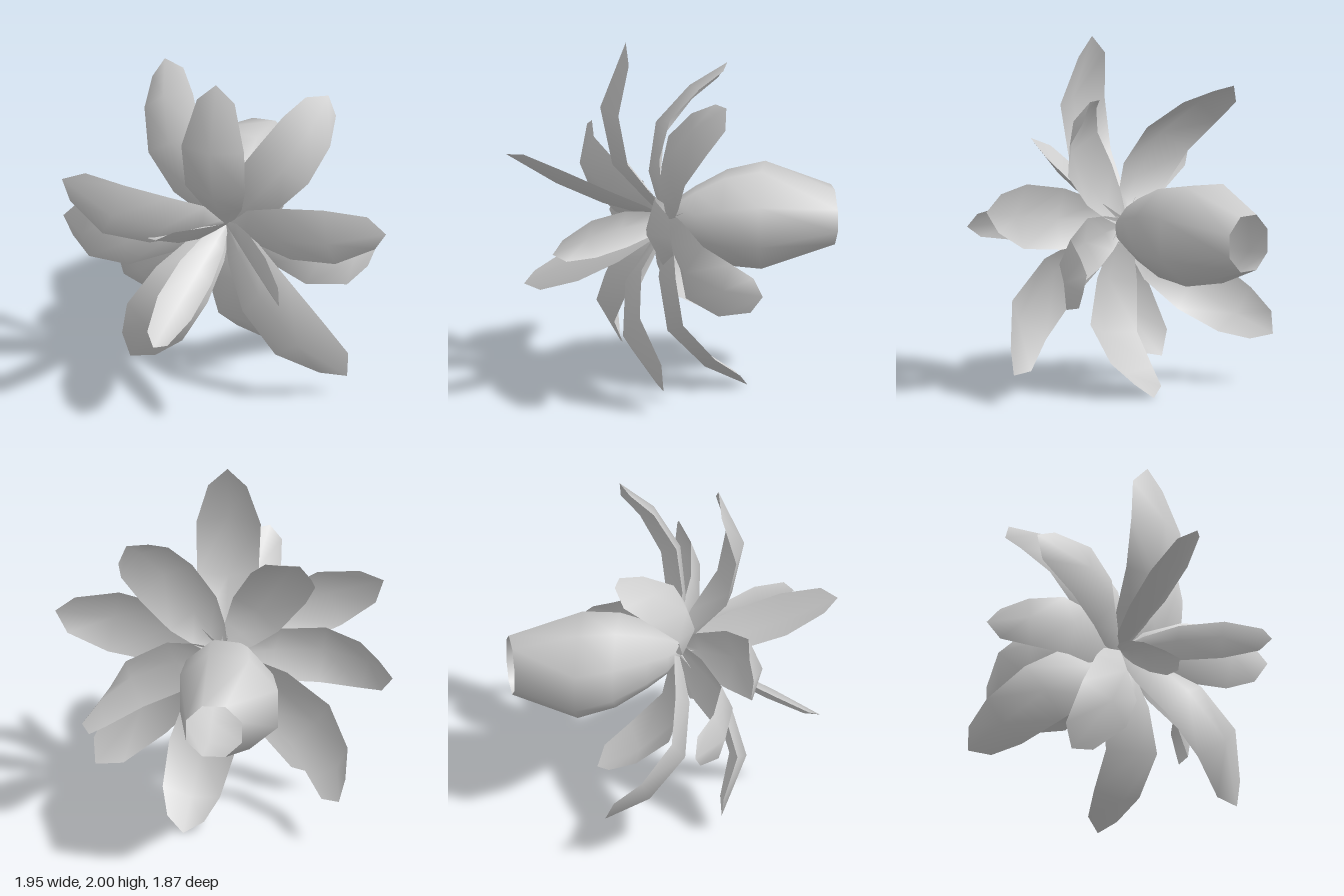
import * as THREE from 'three';

const petalGrey = new THREE.MeshStandardMaterial({ color: 0xcccccc, side: THREE.DoubleSide });
petalGrey.name = 'petal grey';

const BASE = [-0.01, 0.94, 0.03];

// Smooth surface from equal-length rows of points
function loft(name, rows, closed) {
  const n = rows[0].length, index = [];
  for (let r = 0; r + 1 < rows.length; r++) {
    for (let c = 0; c < (closed ? n : n - 1); c++) {
      const a = r * n + c, b = r * n + (c + 1) % n;
      index.push(a, b, a + n, b, b + n, a + n);
    }
  }
  const geometry = new THREE.BufferGeometry().setFromPoints(rows.flat());
  geometry.setIndex(index);
  geometry.computeVertexNormals();
  const mesh = new THREE.Mesh(geometry, petalGrey);
  mesh.name = name;
  return mesh;
}

// Rows of each petal kind: [centre t, edge t, share of the half width]
const LONG_ROWS = [[0, 0, 0.18], [0.15, 0.15, 0.62], [0.38, 0.38, 0.95], [0.67, 0.67, 1], [1, 0.92, 0.6]];
const CURLED_ROWS = [[0, 0, 0.18], [0.13, 0.13, 0.6], [0.27, 0.27, 0.9], [0.53, 0.53, 1], [0.78, 0.78, 0.88], [1, 0.94, 0.56]];

// Petal along a curve of centre points; its edges cup towards the trumpet
function petal(name, rowList, centres, side, halfWidth) {
  const path = new THREE.CatmullRomCurve3([BASE, ...centres].map((p) => new THREE.Vector3(...p)));
  const across = new THREE.Vector3(...side).normalize();
  const rows = rowList.map(([tc, te, share]) => {
    const along = path.getTangentAt(te);
    const s = across.clone().addScaledVector(along, -across.dot(along)).normalize();
    const normal = new THREE.Vector3().crossVectors(along, s);
    if (normal.z > 0) normal.negate();
    const w = halfWidth * share;
    const edge = (k) => path.getPointAt(te).addScaledVector(s, k * w).addScaledVector(normal, w * 0.4);
    return [edge(-1), path.getPointAt(tc), edge(1)];
  });
  return loft(name, rows, false);
}

// Each petal: centre points, direction across, half width
const OUTER = [
  [[[-0.01, 1.35, 0.385], [-0.01, 1.65, 0.415], [-0.01, 2.00, 0.27]], [1, 0, 0], 0.185],
  [[[0.28, 0.635, 0.335], [0.505, 0.39, 0.37], [0.74, 0.13, 0.18]], [0.17, 0.15, 0], 0.19],
  [[[-0.225, 0.62, 0.33], [-0.38, 0.37, 0.375], [-0.53, 0.10, 0.21]], [0.18, -0.12, 0], 0.19],
  [[[0.365, 0.99, 0.22], [0.66, 1.035, 0.26], [0.97, 1.10, 0.18]], [-0.04, 0.23, 0.02], 0.185],
  [[[-0.375, 1.065, 0.37], [-0.64, 1.17, 0.44], [-0.90, 1.29, 0.34]], [0.09, 0.21, 0], 0.18],
];
const CURLED = [
  [[[-0.26, 0.91, 0.15], [-0.55, 0.87, 0.27], [-0.80, 0.85, 0.205], [-0.98, 0.84, -0.01]], [0.03, 0.25, 0], 0.175],
  [[[0.14, 1.13, 0.10], [0.30, 1.33, 0.12], [0.45, 1.56, 0.0], [0.53, 1.73, -0.22]], [0.18, -0.12, -0.03], 0.185],
  [[[-0.16, 1.13, 0.10], [-0.31, 1.36, 0.08], [-0.41, 1.57, -0.10], [-0.48, 1.73, -0.40]], [0.19, 0.07, 0.03], 0.18],
  [[[-0.30, 0.73, 0.06], [-0.55, 0.53, -0.01], [-0.68, 0.37, -0.23], [-0.71, 0.28, -0.49]], [0.16, -0.17, 0.04], 0.185],
  [[[0.33, 0.84, 0.06], [0.57, 0.75, 0.0], [0.71, 0.69, -0.20], [0.77, 0.67, -0.39]], [0.06, -0.25, 0], 0.175],
  [[[0.05, 0.60, 0.09], [0.12, 0.32, 0.05], [0.17, 0.09, -0.19], [0.19, 0.00, -0.40]], [0.25, 0.03, 0], 0.19],
];
const SWEPT = [
  [[[-0.075, 1.03, 0.365], [-0.13, 1.145, 0.635], [-0.20, 1.32, 0.93]], [0.88, 0.35, 0.05], 0.145],
  [[[0.19, 0.95, 0.36], [0.34, 0.935, 0.58], [0.49, 0.90, 0.78]], [-0.1, 1, 0], 0.11],
  [[[-0.095, 0.795, 0.35], [-0.165, 0.675, 0.585], [-0.24, 0.54, 0.82]], [0.7, -0.5, -0.1], 0.12],
];

// Open trumpet: [z, centre x, radius, skew of the ring]
const TRUMPET = [
  [0.04, -0.01, 0.05, 0], [-0.03, -0.03, 0.12, 0.1], [-0.14, -0.045, 0.18, 0.2],
  [-0.32, -0.07, 0.255, 0.27], [-0.54, -0.085, 0.287, 0.27], [-0.935, -0.03, 0.16, 0],
];

function trumpet() {
  const rows = TRUMPET.map(([z, cx, r, skew]) => Array.from({ length: 8 }, (_, i) => {
    const a = (i + 0.5) * Math.PI / 4, R = r / Math.cos(Math.PI / 8);
    const dx = R * Math.cos(a);
    return new THREE.Vector3(cx + dx, 0.925 + R * Math.sin(a), z + skew * dx);
  }));
  return loft('trumpet', rows, true);
}

export function createModel() {
  const flower = new THREE.Group();
  flower.name = 'flower';
  const add = (label, rowList, list) => {
    const group = new THREE.Group();
    group.name = label + 'Petals';
    list.forEach((p, i) => group.add(petal(`${label}Petal${i + 1}`, rowList, ...p)));
    flower.add(group);
  };
  add('outer', LONG_ROWS, OUTER);
  add('curled', CURLED_ROWS, CURLED);
  add('swept', LONG_ROWS, SWEPT);
  flower.add(trumpet());

  // Thin filaments around the trumpet's foot
  for (let i = 0; i < 5; i++) {
    const a = 0.5 + i * Math.PI * 2 / 5;
    const dir = new THREE.Vector3(Math.cos(a), Math.sin(a), -0.45).normalize();
    const filament = new THREE.Mesh(new THREE.ConeGeometry(0.006, 0.18, 4), petalGrey);
    filament.name = 'filament';
    filament.quaternion.setFromUnitVectors(new THREE.Vector3(0, 1, 0), dir);
    filament.position.set(...BASE).addScaledVector(dir, 0.09);
    flower.add(filament);
  }
  return flower;
}
